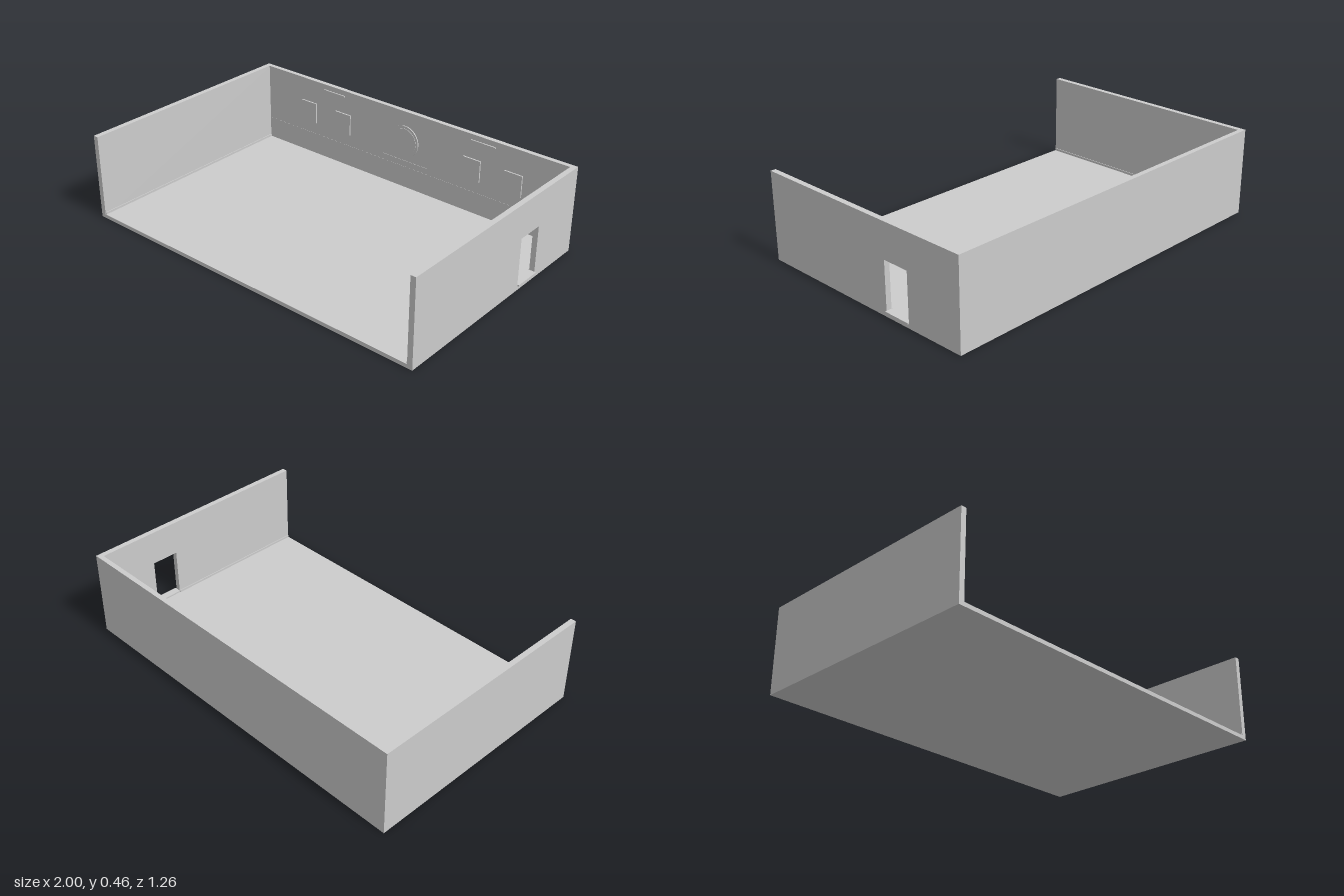
import * as THREE from 'three';

export function createModel() {
  const room = new THREE.Group();
  room.name = 'room';
  const plaster = new THREE.MeshStandardMaterial({ color: 0xcccccc });
  plaster.name = 'plaster grey';

  const add = (name, geometry, parent = room) => {
    const mesh = new THREE.Mesh(geometry, plaster);
    mesh.name = name;
    parent.add(mesh);
    return mesh;
  };
  // Box given by its lower and upper corners
  const box = (name, x0, x1, y0, y1, z0, z1, parent) => {
    const g = new THREE.BoxGeometry(x1 - x0, y1 - y0, z1 - z0);
    g.translate((x0 + x1) / 2, (y0 + y1) / 2, (z0 + z1) / 2);
    return add(name, g, parent);
  };

  const H = 0.457, FLOOR = 0.02, D = 0.632;
  const OUT_R = -1, IN_R = -0.972, IN_L = 0.963, OUT_L = 0.991, BACK = -0.606;

  // Floor slab and plain walls
  box('floor', IN_R, IN_L, 0, FLOOR, BACK, D);
  box('backWall', IN_R, IN_L, 0, H, -D, BACK);
  box('rightWall', OUT_R, IN_R, 0, H, -D, D);

  // Left wall with a doorway cut through it
  const wall = new THREE.Shape([[-D, 0], [D, 0], [D, H], [-D, H]].map(p => new THREE.Vector2(...p)));
  wall.holes.push(new THREE.Path(
    [[0.167, 0.022], [0.167, 0.275], [0.313, 0.275], [0.313, 0.022]].map(p => new THREE.Vector2(...p))));
  const wallGeometry = new THREE.ExtrudeGeometry(wall, { depth: OUT_L - IN_L, bevelEnabled: false });
  wallGeometry.rotateY(Math.PI / 2).translate(IN_L, 0, 0);
  add('leftWall', wallGeometry);
  box('doorSill', IN_L - 0.003, 1, 0.022, 0.03, -0.313, -0.167);

  // Skirting along the side walls and low panelling at the back
  box('rightSkirting', IN_R, IN_R + 0.004, FLOOR, 0.032, BACK, D - 0.002);
  for (const [z0, z1] of [[BACK, -0.313], [-0.167, D - 0.002]])
    box('leftSkirting', IN_L - 0.004, IN_L, FLOOR, 0.032, z0, z1);
  box('backPanelling', IN_R, IN_L, FLOOR, 0.14, BACK, BACK + 0.001);

  // Square wall panels
  for (const x of [-0.67, -0.425, 0.42, 0.665])
    box('wallPanel', x - 0.052, x + 0.052, 0.207, 0.325, BACK, BACK + 0.008);

  // Slim light bars near the top of the back wall
  for (const x of [-0.488, 0.48])
    box('lightBar', x - 0.073, x + 0.073, 0.421, 0.428, BACK, BACK + 0.007);

  // Round medallion with a raised centre and a narrow strip below
  const medallion = new THREE.Group();
  medallion.name = 'medallion';
  room.add(medallion);
  const disc = (name, r, depth) => {
    const g = new THREE.CylinderGeometry(r, r, depth, 32);
    g.rotateX(Math.PI / 2).translate(-0.003, 0.288, BACK + depth / 2);
    add(name, g, medallion);
  };
  disc('medallionRim', 0.088, 0.006);
  disc('medallionFace', 0.074, 0.008);
  box('medallionStrip', -0.15, 0.15, 0.169, 0.175, BACK, BACK + 0.002, medallion);

  return room;
}
